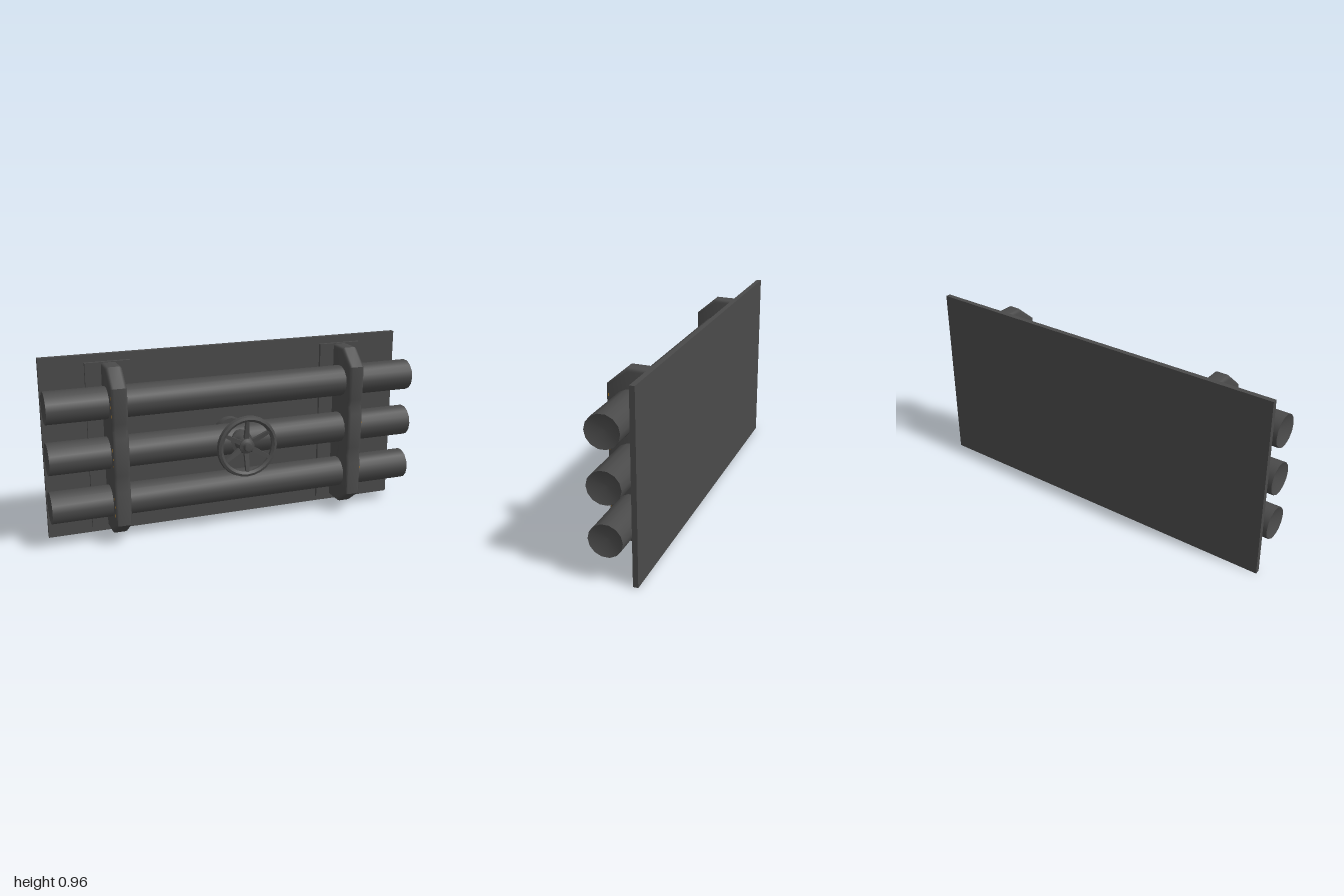
import * as THREE from 'three';
import { toCreasedNormals } from 'three/addons/utils/BufferGeometryUtils.js';

const steel = new THREE.MeshStandardMaterial({ color: 0x4a4a4a });
steel.name = 'dark steel';
const amber = new THREE.MeshStandardMaterial({ color: 0xa87420 });
amber.name = 'amber';

function add(parent, name, geometry, x = 0, y = 0, z = 0, material = steel) {
  const mesh = new THREE.Mesh(geometry, material);
  mesh.name = name;
  mesh.position.set(x, y, z);
  parent.add(mesh);
  return mesh;
}

// Surface of revolution from [radius, height] pairs
function turned(profile, segments) {
  const points = profile.map(([r, h]) => new THREE.Vector2(r, h));
  return toCreasedNormals(new THREE.LatheGeometry(points, segments), 0.7);
}

export function createModel() {
  const model = new THREE.Group();
  model.name = 'barredDoor';

  // Back plate
  add(model, 'backPlate', new THREE.BoxGeometry(1.985, 0.96, 0.026), -0.005, 0.48, -0.155);

  // Three horizontal bars with shallow hollow ends
  const barGeometry = turned([[0, -0.97], [0.083, -1], [0.083, 1], [0, 0.97]], 14);
  barGeometry.rotateZ(Math.PI / 2);
  barGeometry.scale(1, 1, 1.03);
  const barHeights = [0.74, 0.476, 0.216];
  for (const y of barHeights) add(model, 'bar', barGeometry, 0, y, -0.018);

  // Clamp outline in (z, y), with two notches between the bars
  const outline = [
    [-0.116, 0.04], [0, 0.04], [0.101, 0.115], [0.101, 0.295], [0.091, 0.338],
    [0.101, 0.385], [0.101, 0.575], [0.089, 0.617], [0.101, 0.655],
    [0.101, 0.835], [0, 0.922], [-0.116, 0.92],
  ];
  const clampShape = new THREE.Shape(outline.map(([z, y]) => new THREE.Vector2(z, y)));
  const clampRaw = new THREE.ExtrudeGeometry(clampShape, {
    depth: 0.052, bevelEnabled: true, bevelThickness: 0.017, bevelSize: 0.017,
    bevelOffset: -0.017, bevelSegments: 3,
  });
  clampRaw.translate(0, 0, -0.026);
  clampRaw.rotateY(-Math.PI / 2);
  const clampGeometry = toCreasedNormals(clampRaw, 0.7);

  for (const [side, clampX, plateX] of [[-1, -0.647, -0.652], [1, 0.643, 0.643]]) {
    const bracket = new THREE.Group();
    bracket.name = side < 0 ? 'rightBracket' : 'leftBracket';
    model.add(bracket);
    add(bracket, 'mountingPlate', new THREE.BoxGeometry(0.235, 0.89, 0.017), plateX, 0.479, -0.1235);
    add(bracket, 'clamp', clampGeometry, clampX, 0, 0);
    // Small amber flecks along the outer edge beside each bar
    for (const y of barHeights) {
      for (let i = -1; i <= 1; i++) {
        add(bracket, 'fleck', new THREE.BoxGeometry(0.004, 0.016, 0.008),
          clampX + side * 0.0405, y + i * 0.045, 0.086, amber);
      }
    }
  }

  // Round boss between the middle bar and the plate
  const boss = new THREE.CylinderGeometry(0.085, 0.085, 0.045, 20);
  boss.rotateX(Math.PI / 2);
  add(model, 'boss', boss, 0, 0.478, -0.122);

  // Hand wheel
  const wheel = new THREE.Group();
  wheel.name = 'handWheel';
  wheel.position.y = 0.482;
  model.add(wheel);

  const stem = turned([[0, 0.03], [0.06, 0.03], [0.06, 0.066], [0.041, 0.07], [0.041, 0.122], [0, 0.122]], 16);
  stem.rotateX(Math.PI / 2);
  add(wheel, 'stem', stem);

  const hub = turned([[0, 0.115], [0.045, 0.12], [0.04, 0.148], [0.024, 0.155], [0.02, 0.172], [0, 0.175]], 14);
  hub.rotateX(Math.PI / 2);
  add(wheel, 'hub', hub);

  const rim = turned([
    [0.134, 0.144], [0.147, 0.136], [0.164, 0.144], [0.16, 0.162],
    [0.147, 0.166], [0.134, 0.158], [0.134, 0.144],
  ], 28);
  rim.rotateX(Math.PI / 2);
  add(wheel, 'rim', rim);

  // Six tapering spokes, sloping forward to the rim
  const spoke = new THREE.BoxGeometry(0.118, 0.022, 0.018);
  const p = spoke.attributes.position;
  for (let i = 0; i < p.count; i++) {
    const t = p.getX(i) / 0.118 + 0.5;
    p.setXYZ(i, 0.025 + 0.118 * t, p.getY(i) * (1.2 - 0.45 * t), p.getZ(i) + 0.132 + 0.02 * t);
  }
  spoke.computeVertexNormals();
  for (let i = 0; i < 6; i++) {
    add(wheel, 'spoke', spoke).rotation.z = Math.PI / 6 + i * Math.PI / 3;
  }

  return model;
}
